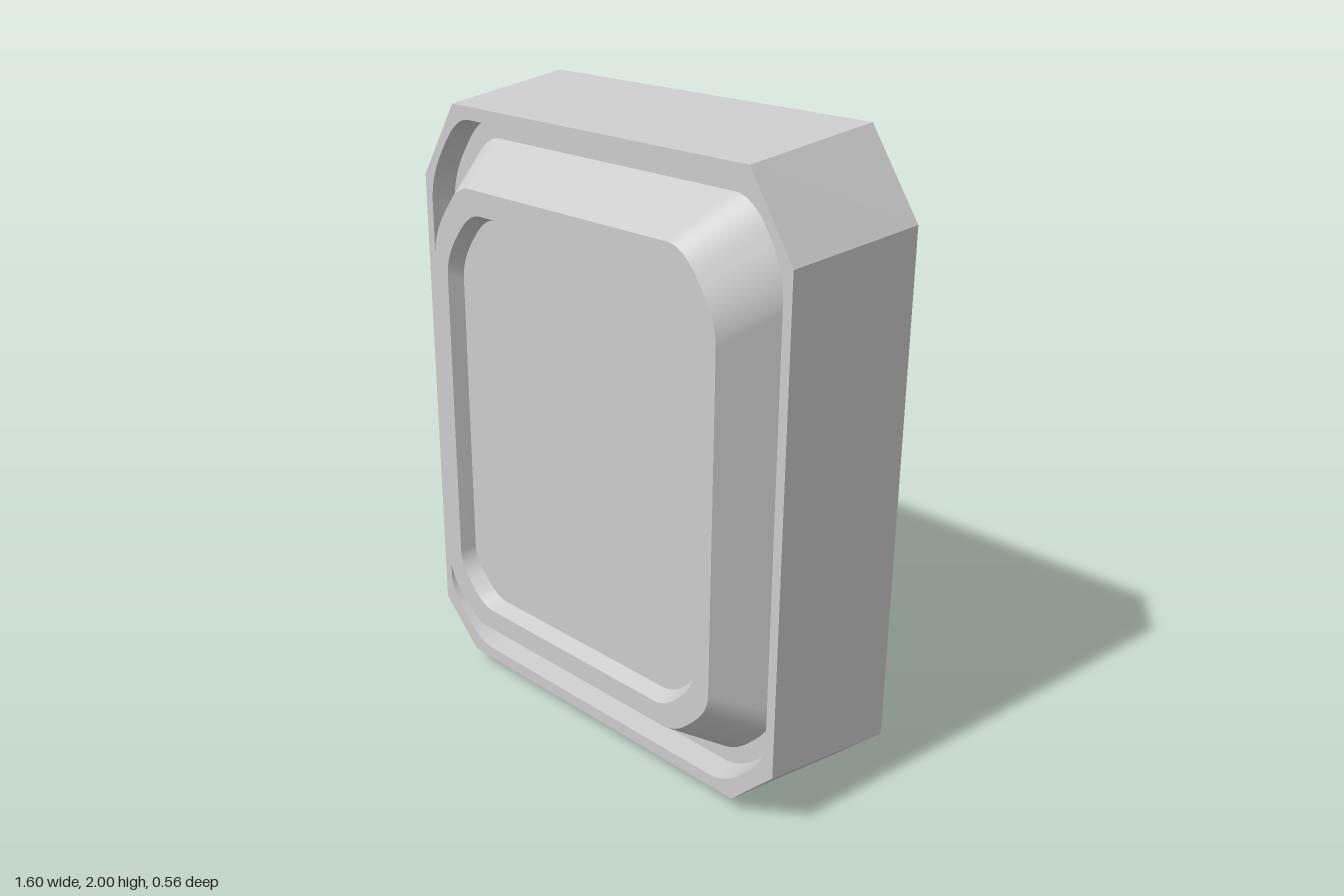
import * as THREE from 'three';

const material = new THREE.MeshStandardMaterial({ color: 0xcccccc, side: THREE.DoubleSide });

// Counterclockwise octagon outline with different top and bottom corner cuts.
function octagon(halfWidth, bottom, top, topCut, bottomCut) {
  const [tx, ty] = topCut, [bx, by] = bottomCut;
  const right = [
    [halfWidth - bx, bottom], [halfWidth, bottom + by],
    [halfWidth, top - ty], [halfWidth - tx, top],
  ];
  const left = right.map(([x, y]) => [-x, y]).reverse();
  return [...right, ...left].map(([x, y]) => new THREE.Vector2(x, y));
}

// Cut-corner outline whose corners are softened; the cuts span the whole curved part.
function softOutline(halfWidth, bottom, top, topCut, bottomCut) {
  const k = 0.7;
  const inner = octagon(halfWidth, bottom, top, topCut, bottomCut);
  const outer = octagon(halfWidth, bottom, top, topCut.map(v => v * k), bottomCut.map(v => v * k));
  const points = [];
  for (let i = 0; i < 8; i += 2) {
    const [a, b, p, q] = [inner[i], inner[i + 1], outer[i], outer[i + 1]];
    const m1 = p.clone().lerp(q, 0.42), m2 = p.clone().lerp(q, 0.58);
    points.push(...new THREE.QuadraticBezierCurve(a, p, m1).getPoints(8));
    points.push(...new THREE.QuadraticBezierCurve(m2, q, b).getPoints(8));
  }
  return points;
}

// Closed strip joining two matching outlines, smooth around its length.
function band(name, from, z0, to, z1, flat = false) {
  const n = from.length, position = [], index = [];
  from.forEach(p => position.push(p.x, p.y, z0));
  to.forEach(p => position.push(p.x, p.y, z1));
  for (let i = 0; i < n; i++) {
    const j = (i + 1) % n;
    index.push(i, j, n + j, i, n + j, n + i);
  }
  let geometry = new THREE.BufferGeometry();
  geometry.setAttribute('position', new THREE.Float32BufferAttribute(position, 3));
  geometry.setIndex(index);
  if (flat) geometry = geometry.toNonIndexed();
  geometry.computeVertexNormals();
  return named(name, geometry);
}

// Flat panel facing the front, with an optional opening.
function panel(name, outline, z, opening) {
  const shape = new THREE.Shape(outline);
  if (opening) shape.holes.push(new THREE.Path(opening));
  return named(name, new THREE.ShapeGeometry(shape).translate(0, 0, z));
}

function named(name, geometry) {
  const mesh = new THREE.Mesh(geometry, material);
  mesh.name = name;
  return mesh;
}

export function createModel() {
  const group = new THREE.Group();
  group.name = 'housing';

  // Outlines from the outside inwards
  const back = octagon(0.8, 0, 2, [0.17, 0.25], [0.17, 0.16]);
  const front = octagon(0.76, 0.05, 1.95, [0.155, 0.24], [0.155, 0.15]);
  const grooveTop = softOutline(0.73, 0.09, 1.91, [0.2, 0.29], [0.22, 0.21]);
  const grooveFloor = softOutline(0.72, 0.1, 1.9, [0.2, 0.29], [0.22, 0.21]);
  const bezelFoot = softOutline(0.685, 0.145, 1.85, [0.2, 0.28], [0.21, 0.21]);
  const bezelTop = softOutline(0.595, 0.26, 1.735, [0.18, 0.25], [0.185, 0.185]);
  const recessTop = softOutline(0.535, 0.33, 1.66, [0.17, 0.22], [0.16, 0.16]);
  const recessFloor = softOutline(0.52, 0.35, 1.64, [0.165, 0.215], [0.155, 0.155]);

  const rimZ = 0.18, grooveZ = 0.1, bezelZ = 0.28, screenZ = 0.23;

  group.add(
    // Open-backed outer shell and its front rim
    band('outerWall', back, -0.28, front, rimZ, true),
    panel('frontRim', front, rimZ, grooveTop),
    // Groove around the bezel
    band('grooveWall', grooveTop, rimZ, grooveFloor, grooveZ),
    band('grooveFloor', grooveFloor, grooveZ, bezelFoot, grooveZ),
    // Raised bezel
    band('bezelSlope', bezelFoot, grooveZ, bezelTop, bezelZ),
    band('bezelFace', bezelTop, bezelZ, recessTop, bezelZ),
    // Recessed screen
    band('screenEdge', recessTop, bezelZ, recessFloor, screenZ),
    panel('screen', recessFloor, screenZ),
  );
  return group;
}
